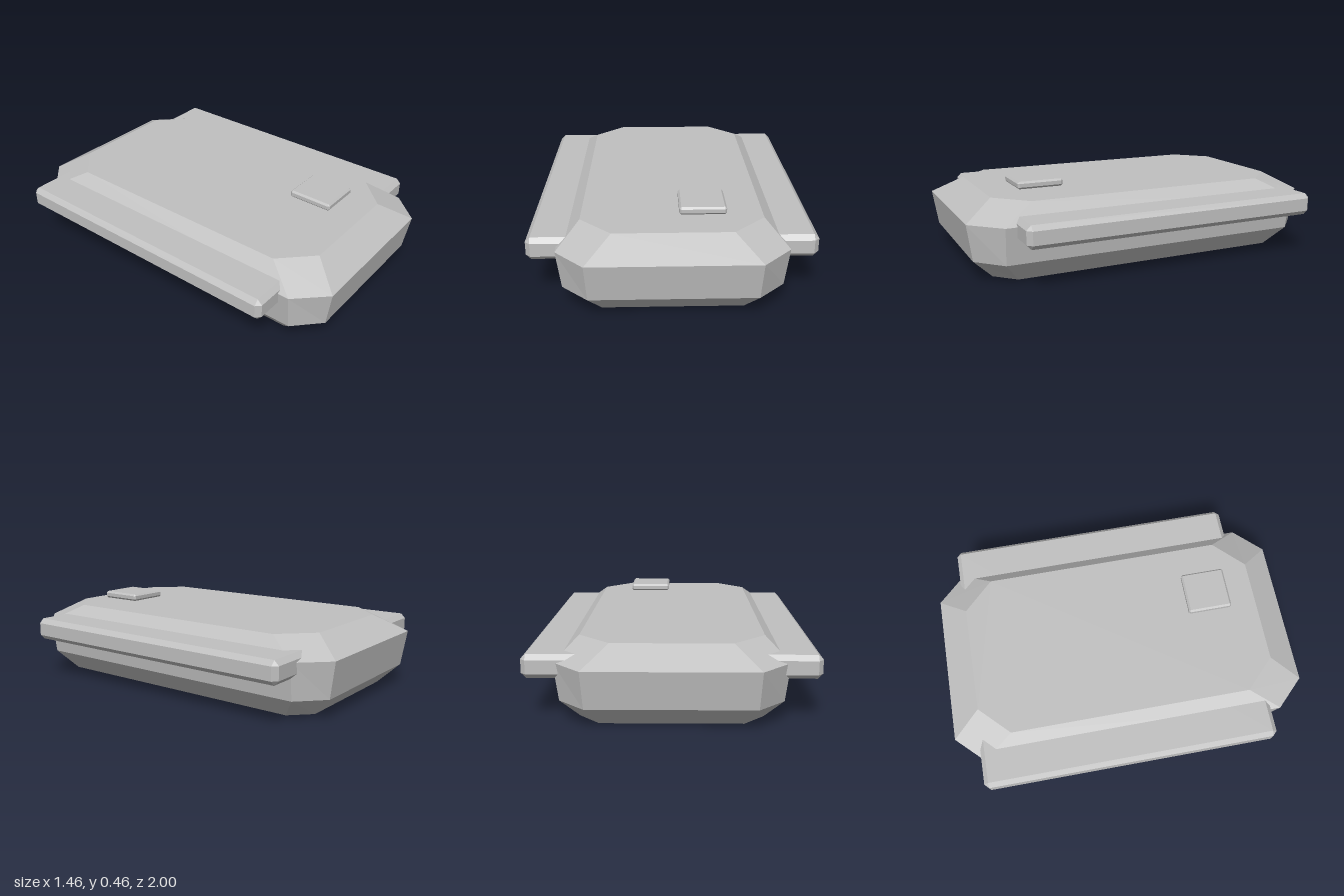
import * as THREE from 'three';

// Octagonal ring: half sizes hx, hz; front edge half-width fx, side edge half-length sz
function ring([y, hx, hz, fx, sz]) {
  return [[hx, -sz], [hx, sz], [fx, hz], [-fx, hz], [-hx, sz], [-hx, -sz], [-fx, -hz], [fx, -hz]]
    .map(([x, z]) => [x, y, z]);
}

// Faceted solid lofted through rings from bottom to top, closed by caps
function loft(levels) {
  const rings = levels.map(ring);
  const pos = [];
  const tri = (a, b, c) => pos.push(...a, ...b, ...c);
  const n = 8;
  for (let k = 0; k < rings.length - 1; k++) {
    const lo = rings[k], hi = rings[k + 1];
    for (let i = 0; i < n; i++) {
      const j = (i + 1) % n;
      tri(lo[i], hi[j], lo[j]);
      tri(lo[i], hi[i], hi[j]);
    }
  }
  const bottom = rings[0], top = rings[rings.length - 1];
  for (let i = 1; i < n - 1; i++) {
    tri(bottom[0], bottom[i], bottom[i + 1]);
    tri(top[0], top[i + 1], top[i]);
  }
  const geo = new THREE.BufferGeometry();
  geo.setAttribute('position', new THREE.Float32BufferAttribute(pos, 3));
  geo.computeVertexNormals();
  return geo;
}

// Box with single-facet bevels on every edge
function bevelBox(w, h, d, b) {
  const x = w / 2, y = h / 2, z = d / 2;
  return loft([
    [-y, x - b, z - b, x - b, z - b],
    [-y + b, x, z, x - b, z - b],
    [y - b, x, z, x - b, z - b],
    [y, x - b, z - b, x - b, z - b],
  ]);
}

export function createModel() {
  const model = new THREE.Group();
  model.name = 'model';
  const grey = new THREE.MeshStandardMaterial({ color: 0xc0c0c0, flatShading: true });
  grey.name = 'grey';

  const add = (name, geo, x = 0, y = 0, z = 0) => {
    const mesh = new THREE.Mesh(geo, grey);
    mesh.name = name;
    mesh.position.set(x, y, z);
    model.add(mesh);
  };

  // Main body with clipped corners, tapered floor and sloped deck edge
  add('body', loft([
    [0, 0.46, 0.86, 0.355, 0.755],
    [0.11, 0.55, 0.97, 0.415, 0.84],
    [0.305, 0.575, 1.0, 0.425, 0.845],
    [0.4, 0.465, 0.84, 0.3, 0.675],
  ]));

  // Slab through the body, showing as a rail on each side
  add('sideRails', bevelBox(1.46, 0.12, 1.65, 0.025), 0, 0.285, -0.04);

  // Small square hatch hovering just above the deck
  add('hatch', bevelBox(0.24, 0.04, 0.25, 0.01), 0.155, 0.44, 0.56);

  return model;
}
